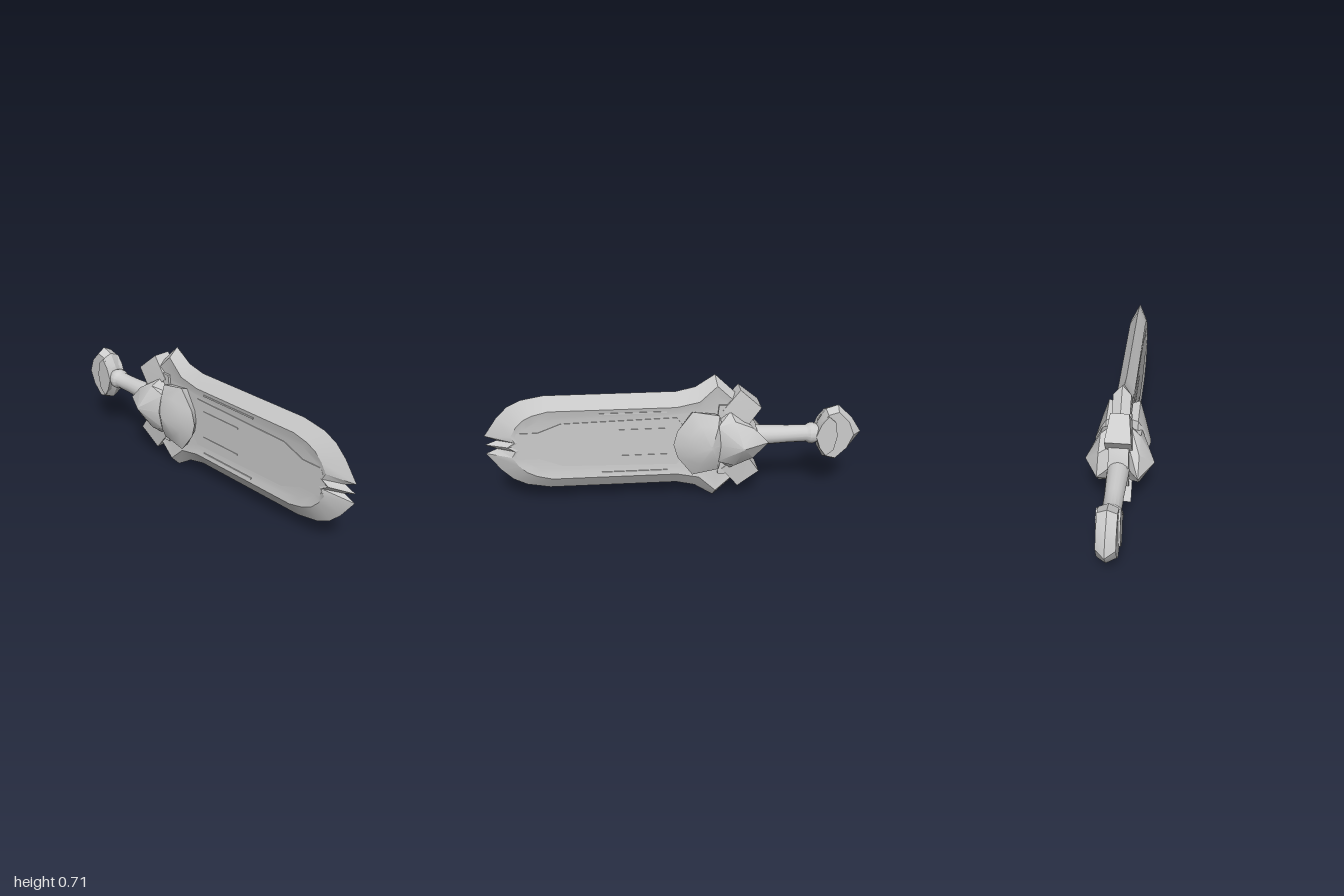
import * as THREE from 'three';
import { toCreasedNormals } from 'three/addons/utils/BufferGeometryUtils.js';

const material = new THREE.MeshStandardMaterial({ color: 0xcccccc, side: THREE.DoubleSide });
const AXIS_Y = 0.355;

// Full outline from its upper half, listed front to back as [z, y]
const sym = (half) => [
  ...half,
  ...half.filter((p) => p[1] > 0).reverse().map(([z, y]) => [z, -y]),
];

// Skin a stack of [x, outline] layers (x ascending), closing both ends.
// An outline point may carry its own half thickness as a third value.
function layered(layers) {
  const n = layers[0][1].length;
  const pos = [];
  const index = [];
  for (const [x, ring] of layers) {
    for (const [z, y, w] of ring) pos.push(w === undefined ? x : Math.sign(x) * w, y, z);
  }
  for (let k = 0; k < layers.length - 1; k++) {
    for (let i = 0; i < n; i++) {
      const a = k * n + i, b = k * n + (i + 1) % n;
      index.push(a, a + n, b, b, a + n, b + n);
    }
  }
  const cap = (k, flip) => {
    const ring = layers[k][1].map(([z, y]) => new THREE.Vector2(z, y));
    for (const [a, b, c] of THREE.ShapeUtils.triangulateShape(ring, [])) {
      index.push(k * n + a, k * n + (flip ? c : b), k * n + (flip ? b : c));
    }
  };
  cap(0, false);
  cap(layers.length - 1, true);
  const geo = new THREE.BufferGeometry();
  geo.setAttribute('position', new THREE.Float32BufferAttribute(pos, 3));
  geo.setIndex(index);
  return toCreasedNormals(geo, 0.5);
}

// Complete a stack given from the middle plane outwards
const bothSides = (outer) => [
  ...outer.filter(([x]) => x > 0).reverse().map(([x, r]) => [-x, r]),
  ...outer,
];

export function createModel() {
  const model = new THREE.Group();
  model.name = 'sword';
  const add = (name, geo) => {
    const mesh = new THREE.Mesh(geo, material);
    mesh.name = name;
    mesh.position.y = AXIS_Y;
    model.add(mesh);
  };

  // Blade: sharp outer edge, bevel, and a slightly sunken face; three-pronged tip
  const edge = [[1, 0], [0.94, 0.024], [1, 0.05], [0.93, 0.15], [0.87, 0.21], [0.8, 0.245],
    [0.68, 0.267], [0, 0.267], [-0.1, 0.29], [-0.2, 0.355], [-0.31, 0.25], [-0.31, 0]];
  const bevel = [[0.88, 0], [0.84, 0.025], [0.86, 0.06], [0.83, 0.11], [0.79, 0.15], [0.74, 0.175],
    [0.66, 0.195], [0, 0.195], [-0.12, 0.22], [-0.21, 0.305], [-0.3, 0.22], [-0.3, 0]];
  const face = bevel.map(([z, y]) => [z > 0 ? z - 0.03 : z, y * 0.8]);
  add('blade', layered(bothSides([[0, sym(edge)], [0.045, sym(bevel)], [0.037, sym(face)]])));

  // Raised panel along the middle of the blade
  const panel = sym([[0.86, 0], [0.83, 0.075], [0.72, 0.075], [0.6, 0.122], [0, 0.135], [-0.1, 0]]);
  add('bladePanel', layered([[-0.041, panel], [0.041, panel]]));

  // Thin ribs on the blade faces
  for (const s of [-1, 1]) {
    for (const [y, z0, z1] of [[0.075, 0.05, 0.3], [0.17, 0.05, 0.4]]) {
      const rib = new THREE.BoxGeometry(0.088, 0.008, z1 - z0);
      rib.translate(0, s * y, (z0 + z1) / 2);
      add('bladeRib', rib);
    }
  }

  // Guard core and the angled blocks above and below it
  const core = sym([[-0.2, 0], [-0.22, 0.2], [-0.33, 0.2], [-0.41, 0.1], [-0.44, 0]]);
  add('guardCore', layered([[-0.05, core], [0.05, core]]));
  const block = [[-0.24, 0.17, 0.053], [-0.33, 0.28, 0.046], [-0.44, 0.185, 0.065], [-0.36, 0.07, 0.066]];
  const lowerBlock = block.map(([z, y, w]) => [z, -y, w]).reverse();
  add('upperGuardBlock', layered([[-1, block], [1, block]]));
  add('lowerGuardBlock', layered([[-1, lowerBlock], [1, lowerBlock]]));

  // Domed shells on each side of the guard
  const frontShell = [
    [0.04, sym([[-0.01, 0], [-0.02, 0.06], [-0.08, 0.165], [-0.2, 0.15], [-0.25, 0]])],
    [0.08, sym([[0.02, 0], [0, 0.075], [-0.08, 0.182], [-0.22, 0.155], [-0.26, 0]])],
    [0.108, sym([[-0.06, 0], [-0.07, 0.06], [-0.12, 0.11], [-0.21, 0.1], [-0.24, 0]])],
    [0.142, sym([[-0.165, 0], [-0.167, 0.006], [-0.17, 0.01], [-0.18, 0.01], [-0.185, 0]])],
  ];
  const rearShell = [
    [0.05, sym([[-0.2, 0], [-0.2, 0.1], [-0.28, 0.165], [-0.37, 0.1], [-0.41, 0]])],
    [0.1, sym([[-0.19, 0], [-0.21, 0.1], [-0.3, 0.127], [-0.4, 0.085], [-0.48, 0]])],
    [0.171, sym([[-0.335, 0], [-0.337, 0.004], [-0.34, 0.005], [-0.343, 0.004], [-0.345, 0]])],
  ];
  for (const [name, shell] of [['FrontShell', frontShell], ['RearShell', rearShell]]) {
    add('left' + name, layered(shell));
    add('right' + name, layered(shell.map(([x, r]) => [-x, r]).reverse()));
  }

  // Grip with a collar where it meets the pommel
  const grip = [[0.05, -0.8], [0.05, -0.755], [0.058, -0.735], [0.056, -0.715], [0.046, -0.7],
    [0.047, -0.6], [0.054, -0.45], [0.056, -0.35]].map(([r, z]) => new THREE.Vector2(r, z));
  add('grip', toCreasedNormals(new THREE.LatheGeometry(grip, 16).rotateX(Math.PI / 2), 0.6));

  // Pommel: bevelled plate with a thicker cheek toward the grip
  const pommelEdge = [[-0.745, 0], [-0.76, 0.07], [-0.8, 0.14], [-0.865, 0.16], [-0.945, 0.085], [-1, 0]];
  const pommelFace = [[-0.755, 0], [-0.77, 0.06], [-0.805, 0.12], [-0.86, 0.135], [-0.92, 0.075], [-0.95, 0]];
  add('pommel', layered(bothSides([[0, sym(pommelEdge)], [0.046, sym(pommelFace)]])));
  const cheek = sym([[-0.745, 0], [-0.77, 0.07], [-0.805, 0.115], [-0.845, 0.08], [-0.86, 0]]);
  add('pommelCheek', layered([[-0.056, cheek], [0.056, cheek]]));

  return model;
}
